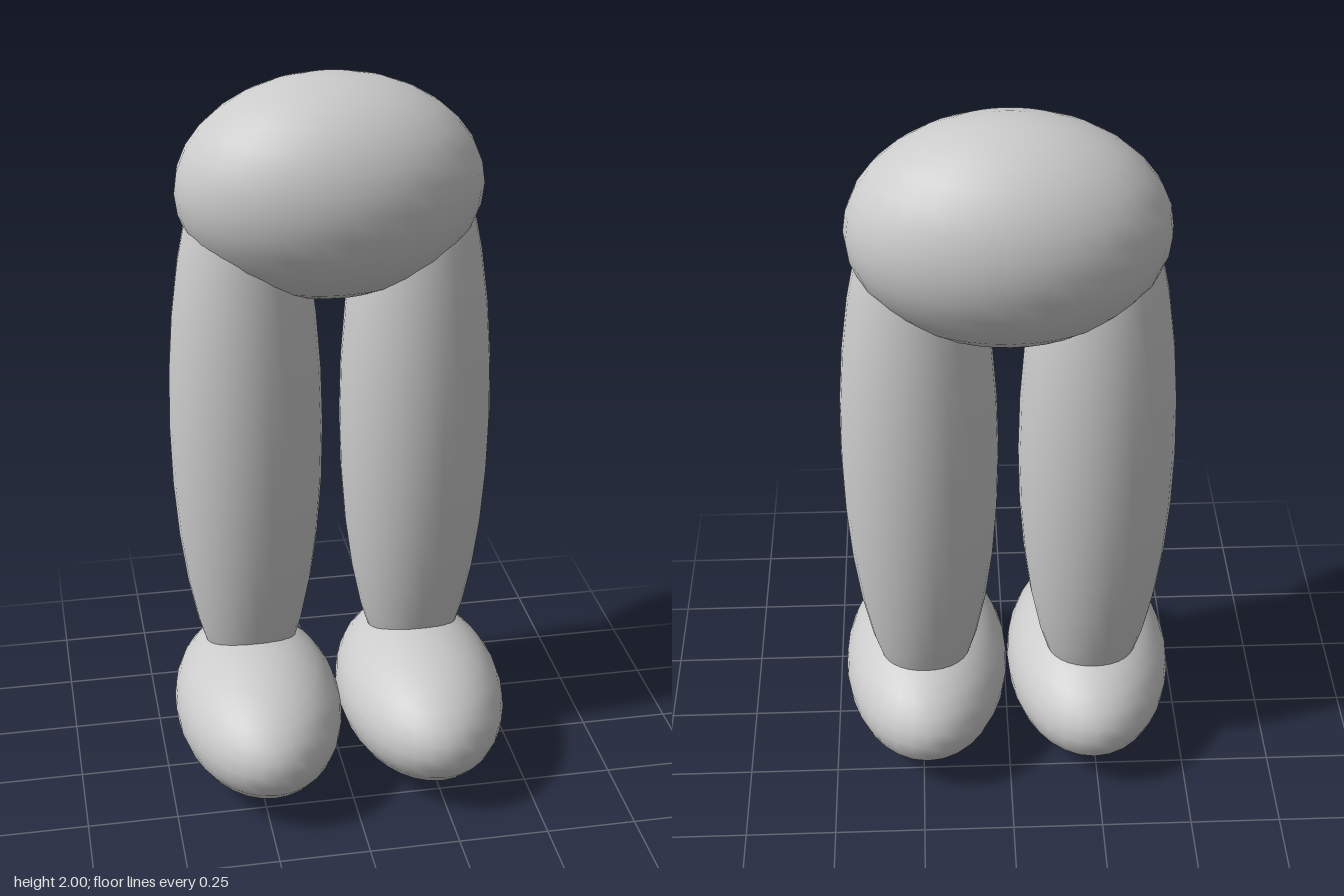
import * as THREE from 'three';

const material = new THREE.MeshStandardMaterial({ color: 0xcccccc });
const sphere = new THREE.SphereGeometry(1, 32, 16);

// Smooth ellipsoid from its centre and three radii
function ellipsoid(name, centre, radii) {
  const geometry = sphere.clone().scale(...radii);
  const mesh = new THREE.Mesh(geometry, material);
  mesh.name = name;
  mesh.position.set(...centre);
  return mesh;
}

export function createModel() {
  const model = new THREE.Group();
  model.name = 'lowerBody';

  // Wide pelvis on top
  model.add(ellipsoid('pelvis', [0, 1.7, -0.115], [0.413, 0.3, 0.29]));

  // Mirrored legs and feet
  for (const [side, s] of [['left', 1], ['right', -1]]) {
    model.add(ellipsoid(side + 'Leg', [s * 0.237, 1.03, -0.11], [0.211, 0.86, 0.2]));
    model.add(ellipsoid(side + 'Foot', [s * 0.236, 0.2, 0.01], [0.235, 0.2, 0.392]));
  }
  return model;
}
